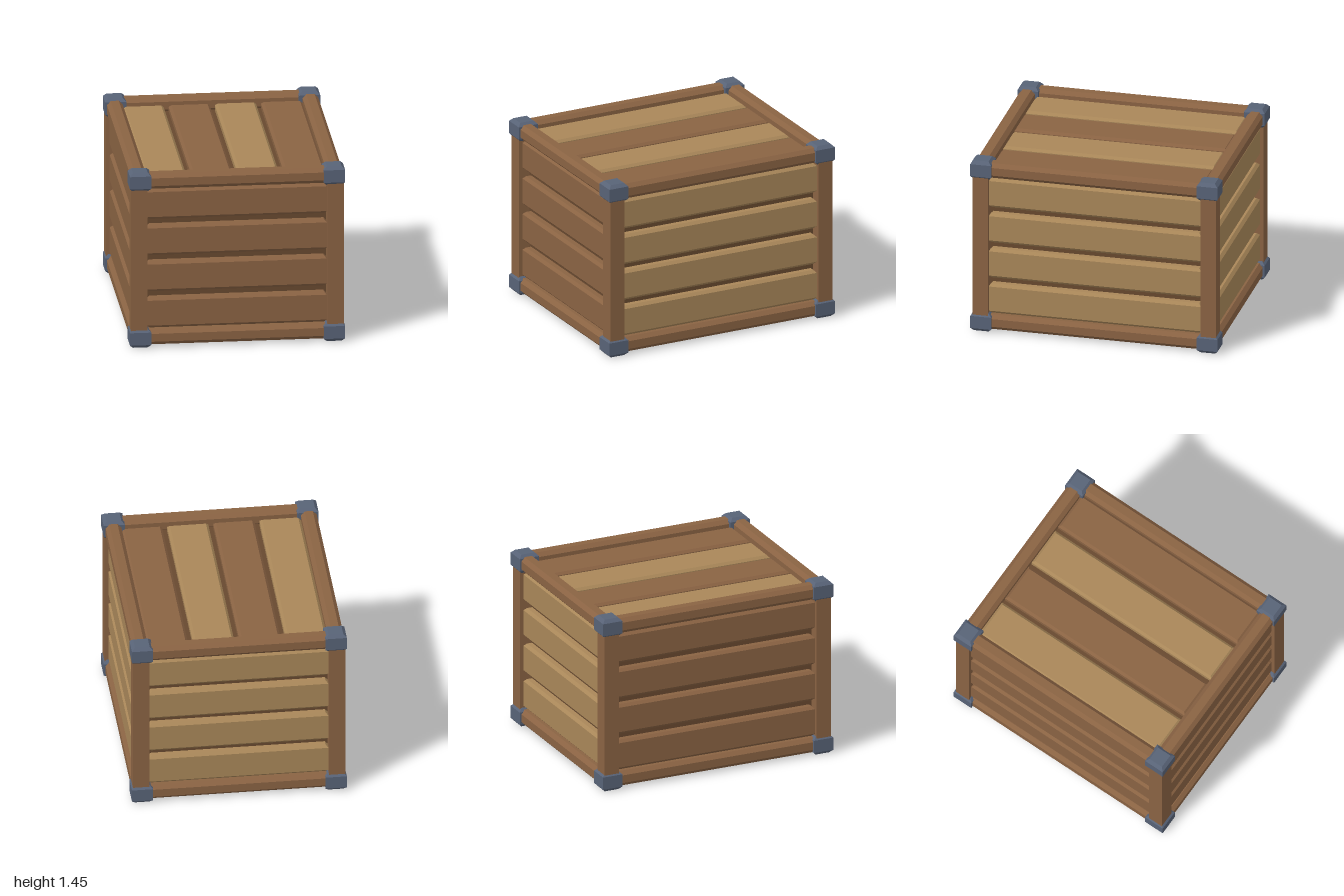
import * as THREE from 'three';

const material = (name, color) => Object.assign(new THREE.MeshStandardMaterial({ color }), { name });

// Box whose top and bottom edges are chamfered by c
function chamferedBox(w, h, d, c) {
  const box = new THREE.BoxGeometry(w, h, d, 1, 3, 1);
  const p = box.attributes.position;
  for (let i = 0; i < p.count; i++) {
    const y = p.getY(i);
    if (Math.abs(y) < h * 0.4) {
      p.setY(i, Math.sign(y) * (h / 2 - c));
    } else {
      p.setX(i, Math.sign(p.getX(i)) * (w / 2 - c));
      p.setZ(i, Math.sign(p.getZ(i)) * (d / 2 - c));
    }
  }
  const flat = box.toNonIndexed();
  flat.computeVertexNormals();
  return flat;
}

export function createModel() {
  const model = new THREE.Group();
  model.name = 'crate';
  const brown = material('brown wood', 0x8a6343);
  const tan = material('tan wood', 0xa98759);
  const dark = material('dark wood', 0x68492f);
  const metal = material('blue grey metal', 0x586377);

  function add(name, geometry, mat, x, y, z) {
    const mesh = new THREE.Mesh(geometry, mat);
    mesh.name = name;
    mesh.position.set(x, y, z);
    model.add(mesh);
  }

  // Dark inner body seen through the gaps and from below
  add('innerBody', new THREE.BoxGeometry(1.49, 1.25, 1.78), dark, 0, 0.695, 0);

  // Four horizontal planks on each side
  const frontPlank = chamferedBox(1.42, 0.25, 0.1, 0.022);
  const sidePlank = chamferedBox(0.1, 0.25, 1.72, 0.022);
  for (let i = 0; i < 4; i++) {
    const y = 0.275 + i * 0.3;
    add('frontPlank', frontPlank, brown, 0, y, 0.905);
    add('backPlank', frontPlank, tan, 0, y, -0.905);
    add('leftPlank', sidePlank, tan, 0.76, y, 0);
    add('rightPlank', sidePlank, brown, -0.76, y, 0);
  }

  // Lid planks in alternating woods
  const lidPlank = chamferedBox(0.325, 0.1, 1.72, 0.02);
  for (let i = 0; i < 4; i++) {
    add('lidPlank', lidPlank, i % 2 ? brown : tan, (i - 1.5) * 0.365, 1.33, 0);
  }

  // Frame rails
  const crossRail = chamferedBox(1.56, 0.125, 0.125, 0.03);
  const longRail = chamferedBox(0.125, 0.125, 1.86, 0.03);
  for (const y of [0.08, 1.37]) {
    for (const s of [-1, 1]) {
      add('crossRail', crossRail, brown, 0, y, s * 0.9225);
      add('longRail', longRail, brown, s * 0.7725, y, 0);
    }
  }

  // Corner posts and metal corner caps
  const post = chamferedBox(0.13, 1.35, 0.125, 0.03);
  const cap = chamferedBox(0.168, 0.155, 0.168, 0.026);
  for (const x of [-1, 1]) {
    for (const z of [-1, 1]) {
      add('cornerPost', post, brown, x * 0.775, 0.725, z * 0.9225);
      for (const y of [0.0775, 1.3725]) add('cornerCap', cap, metal, x * 0.766, y, z * 0.916);
    }
  }
  return model;
}
